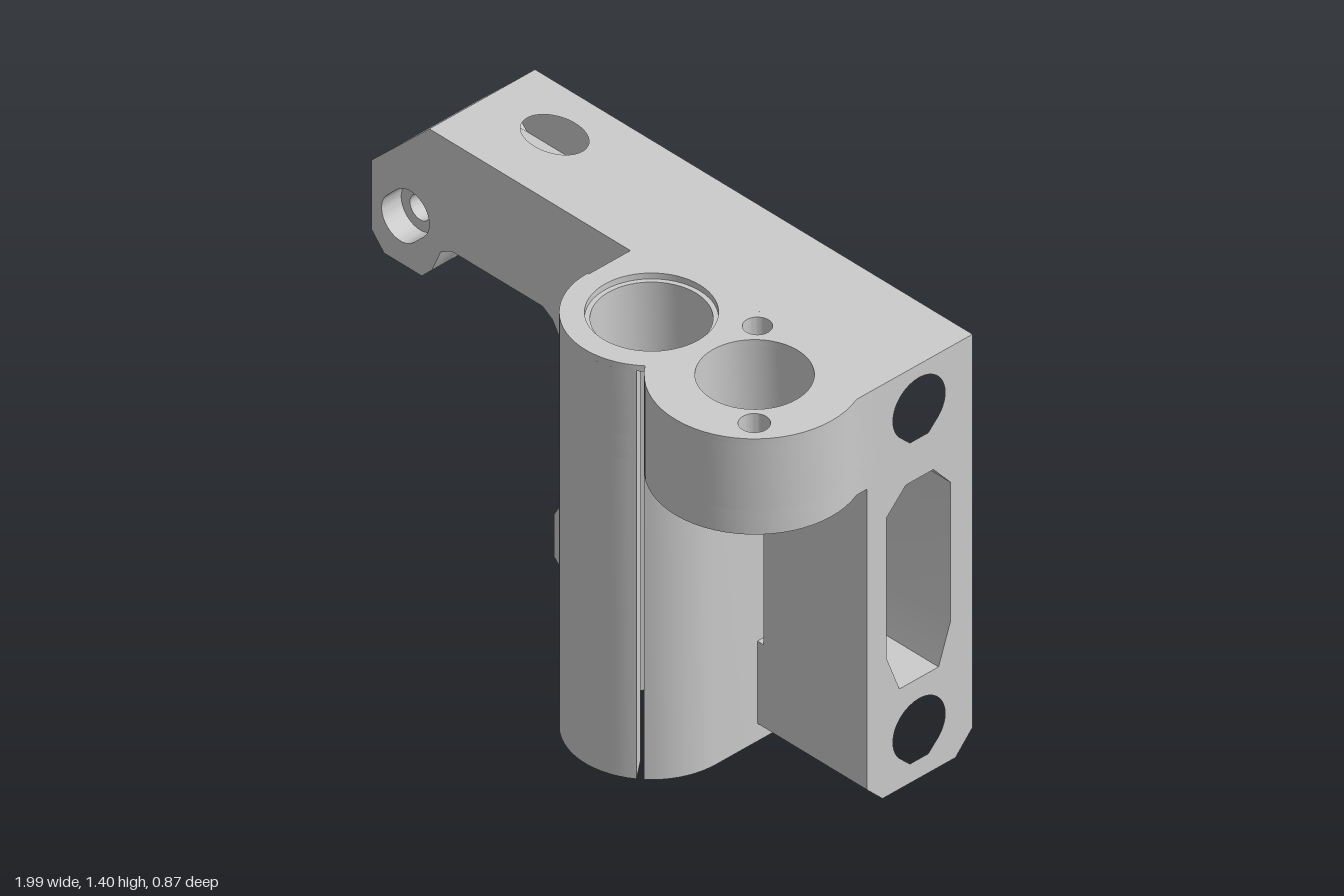
import * as THREE from 'three';
import { toCreasedNormals } from 'three/addons/utils/BufferGeometryUtils.js';

const material = new THREE.MeshStandardMaterial({ color: 0xcccccc });
const TOP = 1.405, BACK = -0.435, RAD = Math.PI / 180;

// points along an arc, angles in degrees
function arc(cx, cy, rx, a0, a1, ry = rx, n = Math.max(4, Math.ceil(Math.abs(a1 - a0) / 6))) {
  return Array.from({ length: n + 1 }, (_, i) => {
    const a = (a0 + (a1 - a0) * i / n) * RAD;
    return [cx + rx * Math.cos(a), cy + ry * Math.sin(a)];
  });
}

// slot outline; half = 0 gives a circle
function slot(cx, cy, half, r, deg = 0) {
  const dx = half * Math.cos(deg * RAD), dy = half * Math.sin(deg * RAD);
  return [...arc(cx + dx, cy + dy, r, deg - 90, deg + 90), ...arc(cx - dx, cy - dy, r, deg + 90, deg + 264)];
}

function extrude(points, holes, depth, flip = [1, 1]) {
  const vectors = (list) => list.map(([a, b]) => new THREE.Vector2(a * flip[0], b * flip[1]));
  const shape = new THREE.Shape(vectors(points));
  for (const h of holes) shape.holes.push(new THREE.Path(vectors(h)));
  return new THREE.ExtrudeGeometry(shape, { depth, bevelEnabled: false });
}

// (x, y) outline along z, (z, y) outline along x, (x, z) outline along y
const alongZ = (pts, holes, z0, z1) => extrude(pts, holes, z1 - z0).translate(0, 0, z0);
const alongX = (pts, holes, x0, x1) => extrude(pts, holes, x1 - x0, [-1, 1]).rotateY(Math.PI / 2).translate(x0, 0, 0);
const alongY = (pts, holes, y0, y1) => extrude(pts, holes, y1 - y0, [1, -1]).rotateX(-Math.PI / 2).translate(0, y0, 0);

export function createModel() {
  const model = new THREE.Group();
  const add = (name, geometry) => {
    const mesh = new THREE.Mesh(toCreasedNormals(geometry, 0.5), material);
    mesh.name = name;
    model.add(mesh);
  };

  // ---- arm and bracket on the right-hand side, in three layers
  const armTop = [[0.03, TOP]];
  const armEnd = [
    [-0.77, TOP], [-1, 1.18], [-1, 0.945], [-0.95, 0.89], [-0.8, 0.89], [-0.76, 0.93],
    [-0.725, 1.01], [-0.68, 1.035], [-0.32, 1.035], [-0.28, 1.01],
  ];
  const notch = [[-0.105, 0.72], [-0.095, 0.68], [-0.105, 0.64]];
  const foot = [[-0.275, 0.35], [-0.275, 0.21], [-0.19, 0.125], [0.03, 0.125]];
  const outline = [...armTop, ...armEnd, ...notch, ...foot];
  const screws = (r, extra = 0) => [
    slot(-0.865, 1.06, 0.028, r, 45),
    slot(-0.115, 1.05, 0.02 + extra, r),
    slot(-0.12, 0.3, 0, r),
  ];
  const nutSlot = [[-0.77, 1.25], [-0.735, 1.285], [-0.63, 1.18], [-0.665, 1.145]];
  add('armBackPlate', alongZ(outline, [...screws(0.04), nutSlot], BACK, -0.35));
  add('armFrontPlate', alongZ(outline, screws(0.075), -0.105, -0.03));
  const screwChannel = [[-0.36, TOP], [-0.56, 1.205], [-0.86, 1.205], [-0.66, TOP]];
  const windowEnd = [[-0.208, 0.89], [0.03, 0.89], [0.03, 0.43], [-0.23, 0.43]];
  add('armCore', alongZ([...armTop, ...screwChannel, ...armEnd, ...windowEnd, ...foot], screws(0.04), -0.35, -0.105));

  // slanted screw hole, wide at the mouth and narrow below
  for (const [y0, y1, rx, rz] of [[1.265, TOP, 0.11, 0.078], [1.205, 1.265, 0.065, 0.045]]) {
    const g = alongY(
      [[-0.66, -0.35], [-0.36, -0.35], [-0.36, -0.105], [-0.66, -0.105]],
      [arc(-0.51, -0.26, rx, 0, 354, rz)], y0, y1);
    const p = g.attributes.position;
    for (let i = 0; i < p.count; i++) p.setX(i, p.getX(i) + p.getY(i) - TOP);
    g.computeVertexNormals();
    add('slantedScrewHole', g);
  }

  // ---- main block, sliced along x
  const rodHole = (y) => [...arc(-0.23, y, 0.1, -50, 230), [-0.265, y - 0.105], [-0.195, y - 0.105]];
  const rods = [rodHole(1.26), rodHole(0.17)];
  const opening = [
    [-0.155, 0.34], [-0.305, 0.34], [-0.35, 0.47], [-0.35, 0.945],
    [-0.285, 1.02], [-0.18, 1.02], [-0.105, 0.945], [-0.105, 0.47],
  ];
  const backFoot = [[BACK, 0.07], [-0.37, 0]];
  const nutTrap = [[-0.225, 0], [-0.225, 0.05], [-0.125, 0.05], [-0.125, 0]];
  const behindColumn = [[-0.085, 0], [-0.085, TOP], [BACK, TOP]];
  const frontFoot = [[-0.09, 0], [-0.03, 0.06]];
  const frontTop = [[-0.03, 1.08], [-0.085, 1.08], [-0.085, TOP], [BACK, TOP]];
  add('blockInnerEnd', alongX([...backFoot, ...behindColumn], [...rods, opening], 0.03, 0.07));
  add('blockNutTrap', alongX([...backFoot, ...nutTrap, ...behindColumn], [...rods, opening], 0.07, 0.15));
  add('blockBehindColumn', alongX([...backFoot, ...behindColumn], [...rods, opening], 0.15, 0.535));
  add('blockOuterEnd', alongX([...backFoot, ...frontFoot, ...frontTop], [...rods, opening], 0.56, 0.97));
  // narrow slit through the front and back walls
  add('blockAboveSlit', alongX([[BACK, 1.02], [-0.03, 1.02], ...frontTop], [rods[0]], 0.535, 0.56));
  add('blockBelowSlit', alongX([...backFoot, ...frontFoot, [-0.03, 0.34], [BACK, 0.34]], [rods[1]], 0.535, 0.56));

  // ---- bearing column with a clamping slit, and the rod boss beside it
  const cx = 0.28, bx = 0.69, cz = 0.13, slit = 51;
  const slitBore = [
    ...arc(cx, cz, 0.255, 180, slit + 2.3),
    ...arc(cx, cz, 0.17, slit + 3.4, slit + 356.6),
  ];
  const side = [[0.03, -0.085], [0.03, cz]];
  const bossRim = [...arc(bx, cz, 0.305, 141.7, -23.3), [0.97, -0.085]];
  const bossBore = arc(bx, cz, 0.165, 0, 354);
  const pin = slot(0.53, -0.035, 0, 0.042);
  const screw = slot(0.855, 0.29, 0, 0.045);
  const hexTrap = arc(0.855, 0.29, 0.058, 0, 300, 0.058, 5);

  add('bearingColumn', alongY(
    [...side, ...slitBore, ...arc(cx, cz, 0.255, slit - 2.3, 0), [0.535, -0.085]], [], 0, 1.08));
  const collar = [...side, ...slitBore, ...arc(cx, cz, 0.255, slit - 2.3, 47.9), ...bossRim];
  add('collarWithNutTrap', alongY(collar, [bossBore, pin, hexTrap], 1.08, 1.16));
  add('collar', alongY(collar, [bossBore, pin, screw], 1.16, 1.385));
  add('collarCap', alongY(
    [...side, ...arc(cx, cz, 0.255, 180, 47.9), ...bossRim],
    [arc(cx, cz, 0.185, 0, 354), bossBore, pin, screw], 1.385, TOP));

  // small stop under the boss
  add('bossStop', alongY([[0.53, 0.1], [0.53, -0.035], [0.655, -0.035], [0.655, -0.02], [0.55, 0.1]], [], 1.02, 1.08));

  return model;
}
